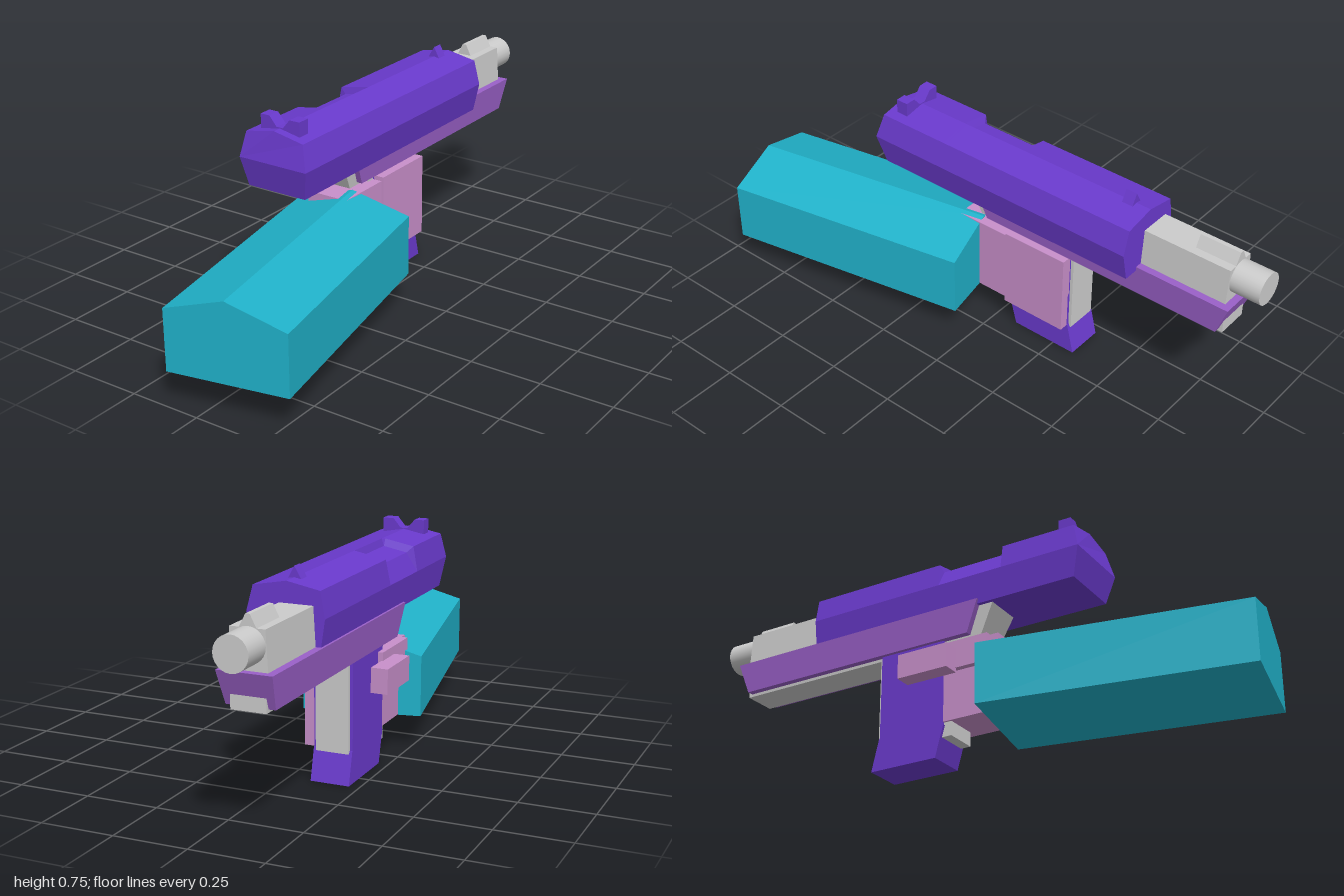
import * as THREE from 'three';

const material = (color) => new THREE.MeshStandardMaterial({ color, flatShading: true });
const PURPLE = material(0x6a3acd);
const VIOLET = material(0x9a60c8);
const PINK = material(0xc88fca);
const TEAL = material(0x20b2ca);
const GREY = material(0xcccccc);

// Skins a row of equal-length loops and closes both ends with fans.
// Each loop runs counter-clockwise seen from the last section's side.
function loft(sections) {
  const pos = [];
  const n = sections[0].length;
  const tri = (a, b, c) => pos.push(...a, ...b, ...c);
  for (let s = 0; s < sections.length - 1; s++) {
    const p = sections[s], q = sections[s + 1];
    for (let i = 0; i < n; i++) {
      const j = (i + 1) % n;
      tri(p[i], p[j], q[j]);
      tri(p[i], q[j], q[i]);
    }
  }
  const first = sections[0], last = sections[sections.length - 1];
  for (let i = 1; i < n - 1; i++) {
    tri(first[0], first[i + 1], first[i]);
    tri(last[0], last[i], last[i + 1]);
  }
  const geo = new THREE.BufferGeometry();
  geo.setAttribute('position', new THREE.Float32BufferAttribute(pos, 3));
  geo.computeVertexNormals();
  return geo;
}

// Box between two heights; each rectangle is [xMin, xMax, zMin, zMax].
function block(y0, bottom, y1, top = bottom) {
  const rect = ([x0, x1, z0, z1], y) => [[x0, y, z1], [x1, y, z1], [x1, y, z0], [x0, y, z0]];
  return loft([rect(bottom, y0), rect(top, y1)]);
}

// Front outline extruded between two z positions.
function prism(points, z0, z1) {
  const shape = new THREE.Shape(points.map(([x, y]) => new THREE.Vector2(x, y)));
  return new THREE.ExtrudeGeometry(shape, { depth: z1 - z0, bevelEnabled: false }).translate(0, 0, z0);
}

function slideGeometry() {
  const outline = [
    [-0.243, 0.607], [-0.228, 0.505], [-0.005, 0.505], [0.018, 0.607],
    [-0.005, 0.692], [-0.117, 0.713], [-0.125, 0.7115], [-0.228, 0.692],
  ];
  // the port sinks the upper right-hand facet
  const port = outline.map((p, i) => (i === 6 ? [-0.125, 0.688] : i === 7 ? [-0.208, 0.672] : p));
  const at = (loop, z) => loop.map(([x, y]) => [x, y, z]);
  // the rear end is folded outward along its widest line
  const rear = outline.map(([x, y]) => [x, y, y > 0.65 ? 0.445 : y > 0.55 ? 0.465 : 0.44]);
  return loft([
    at(outline, -0.58), at(outline, -0.07), at(port, -0.064),
    at(port, 0.165), at(outline, 0.178), rear,
  ]);
}

export function createModel() {
  const model = new THREE.Group();
  const add = (name, geo, mat) => {
    const mesh = new THREE.Mesh(geo, mat);
    mesh.name = name;
    model.add(mesh);
    return mesh;
  };

  // Slide and sights
  add('slide', slideGeometry(), PURPLE);
  add('rearSight', prism([
    [-0.192, 0.695], [-0.04, 0.695], [-0.04, 0.748], [-0.078, 0.748],
    [-0.105, 0.716], [-0.13, 0.716], [-0.157, 0.748], [-0.192, 0.748],
  ], 0.37, 0.415), PURPLE);
  add('frontSight', prism([[-0.145, 0.7], [-0.092, 0.7], [-0.117, 0.748]], -0.525, -0.485), PURPLE);

  // Barrel
  add('barrelBlock', block(0.51, [-0.213, -0.083, -0.895, -0.55], 0.645, [-0.205, -0.092, -0.895, -0.55]), GREY);
  const muzzle = new THREE.CylinderGeometry(0.056, 0.056, 0.12, 24).rotateX(Math.PI / 2);
  const muzzleMat = GREY.clone();
  muzzleMat.flatShading = false;
  add('muzzle', muzzle, muzzleMat).position.set(-0.15, 0.594, -0.94);
  add('barrelRib', block(0.64, [-0.18, -0.12, -0.895, -0.75], 0.685, [-0.157, -0.143, -0.895, -0.75]), GREY);

  // Frame with a grey core showing behind and below
  add('frame', block(0.41, [-0.228, -0.068, -0.88, 0.04], 0.52, [-0.238, -0.058, -0.92, 0.085]), VIOLET);
  add('frameCore', block(0.4, [-0.205, -0.09, -0.875, 0.08], 0.515, [-0.215, -0.078, -0.875, 0.135]), GREY);
  add('frameTip', block(0.4, [-0.205, -0.09, -0.893, -0.8], 0.45), GREY);

  // Grip
  add('grip', block(0.11, [-0.215, -0.08, -0.305, -0.058], 0.415), PURPLE);
  add('gripBase', block(0, [-0.215, -0.08, -0.335, -0.085], 0.11, [-0.215, -0.08, -0.308, -0.055]), PURPLE);
  add('frontStrap', block(0.1, [-0.205, -0.09, -0.316, -0.28], 0.405), GREY);
  add('backStrap', block(0.07, [-0.205, -0.09, -0.09, -0.03], 0.405), GREY);

  // Hand
  add('fingers', block(0.11, [-0.085, -0.047, -0.305, -0.058], 0.403), PINK);
  add('palm', block(0.12, [-0.212, -0.055, -0.06, 0.15], 0.388), PINK);
  add('thumbBase', block(0.29, [-0.233, -0.2, -0.1, 0.12], 0.388), PINK);
  add('thumbTip', block(0.275, [-0.287, -0.228, -0.19, 0], 0.36), PINK);

  // Forearm with a ridged top, turned outward
  const forearm = add('forearm', prism([
    [-0.206, 0.118], [0.206, 0.118], [0.206, 0.33], [0, 0.393], [-0.206, 0.33],
  ], -0.451, 0.451), TEAL);
  forearm.position.set(0, 0, 0.512);
  forearm.rotation.y = 0.193;

  return model;
}
